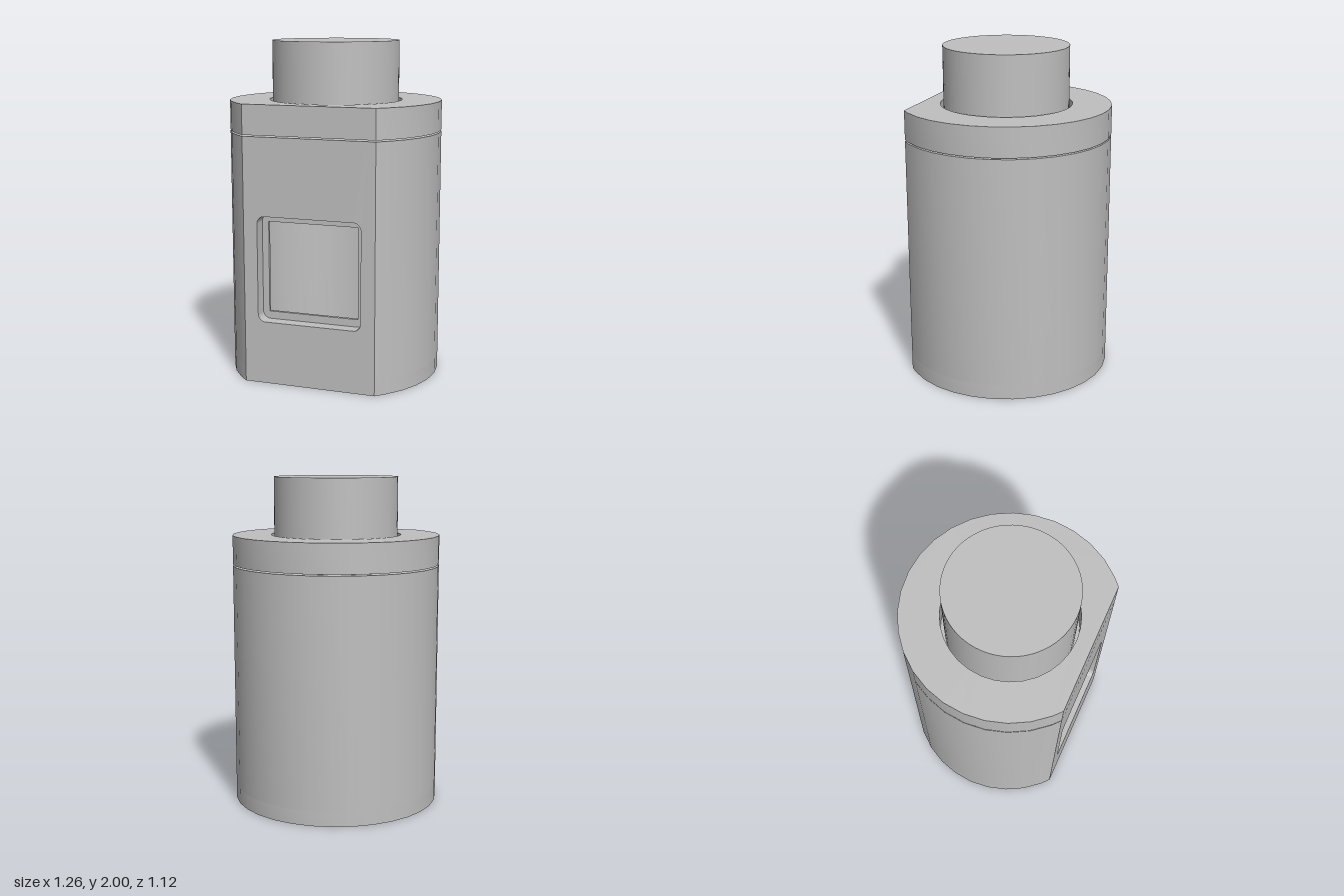
import * as THREE from 'three';
import { toCreasedNormals } from 'three/addons/utils/BufferGeometryUtils.js';

const CZ = 0.07; // z of the main axis

// Points (x, -z) along an arc that runs round the back between the ends of a flat at z = flat
function arcPoints(r, flat) {
  const step = Math.PI / 16;
  const end = Math.asin((flat - CZ) / r); // angle of the flat's corner, towards +z
  const angles = [-end];
  for (let i = -7; i <= 23; i++) {
    const a = i * step;
    if (a > -end + 0.01 && a < Math.PI + end - 0.01) angles.push(a);
  }
  angles.push(Math.PI + end);
  return angles.map(a => new THREE.Vector2(r * Math.cos(a), r * Math.sin(a) - CZ));
}

// Rectangle with optional rounded corners
function rect(type, x0, y0, x1, y1, r = 0) {
  const s = new type();
  if (!r) {
    s.moveTo(x0, y0).lineTo(x1, y0).lineTo(x1, y1).lineTo(x0, y1).closePath();
    return s;
  }
  s.moveTo(x0 + r, y0);
  s.lineTo(x1 - r, y0).absarc(x1 - r, y0 + r, r, -Math.PI / 2, 0);
  s.lineTo(x1, y1 - r).absarc(x1 - r, y1 - r, r, 0, Math.PI / 2);
  s.lineTo(x0 + r, y1).absarc(x0 + r, y1 - r, r, Math.PI / 2, Math.PI);
  s.lineTo(x0, y0 + r).absarc(x0 + r, y0 + r, r, Math.PI, Math.PI * 1.5);
  return s;
}

export function createModel() {
  const model = new THREE.Group();
  model.name = 'windowedCanister';
  const grey = new THREE.MeshStandardMaterial({ color: 0xbfbfbf });
  grey.name = 'plain grey';

  const add = (name, geometry) => {
    const mesh = new THREE.Mesh(geometry, grey);
    mesh.name = name;
    model.add(mesh);
    return mesh;
  };
  const extrude = (shape, depth) => toCreasedNormals(
    new THREE.ExtrudeGeometry(shape, { depth, bevelEnabled: false, curveSegments: 16 }), 0.5);
  // Plan shape raised from y0 to y1
  const slab = (name, shape, y0, y1) =>
    add(name, extrude(shape, y1 - y0).rotateX(-Math.PI / 2).translate(0, y0, 0));
  // Front shape running from z0 to z1
  const panel = (name, shape, z0, z1) =>
    add(name, extrude(shape, z1 - z0).translate(0, 0, z0));

  const R = 0.632, FLAT = 0.56, INNER = 0.53, INNER_FLAT = 0.46;
  const floorY = 0.09, wallTop = 1.466, capY = 1.474;

  // Base plate with a small slot
  const base = new THREE.Shape(arcPoints(R, FLAT));
  base.holes.push(rect(THREE.Path, -0.15, -0.34, 0.15, -0.13, 0.02));
  slab('basePlate', base, 0, floorY);

  // Curved wall, open at the front
  const outer = arcPoints(R, FLAT);
  const inner = arcPoints(INNER, INNER_FLAT).reverse();
  const edge = inner[inner.length - 1].x;
  const wall = new THREE.Shape([
    ...outer,
    new THREE.Vector2(-edge, -FLAT),
    ...inner,
    new THREE.Vector2(edge, -FLAT),
  ]);
  slab('curvedWall', wall, floorY, wallTop);

  // Flat front: outer layer with a rounded recess, inner layer with the window
  const front = rect(THREE.Shape, -edge, floorY, edge, wallTop);
  front.holes.push(rect(THREE.Path, -0.315, 0.375, 0.315, 1.005, 0.045));
  panel('frontPanel', front, 0.48, FLAT);
  const frame = rect(THREE.Shape, -edge, floorY, edge, wallTop);
  frame.holes.push(rect(THREE.Path, -0.275, 0.42, 0.275, 0.962));
  panel('windowFrame', frame, INNER_FLAT, 0.48);

  // Ceiling plug, seen as the back of the thin groove below the cap
  slab('ceilingPlug', new THREE.Shape(arcPoints(0.57, 0.49)), 1.37, 1.49);

  // Cap with a round hole
  const cap = new THREE.Shape(arcPoints(R, FLAT));
  cap.holes.push(new THREE.Path().absarc(0, -CZ, 0.397, 0, Math.PI * 2, true));
  slab('cap', cap, capY, 1.65);

  // Round knob standing in the hole
  const knob = add('knob', new THREE.CylinderGeometry(0.377, 0.377, 0.52, 64));
  knob.position.set(0, 1.74, CZ);

  return model;
}
